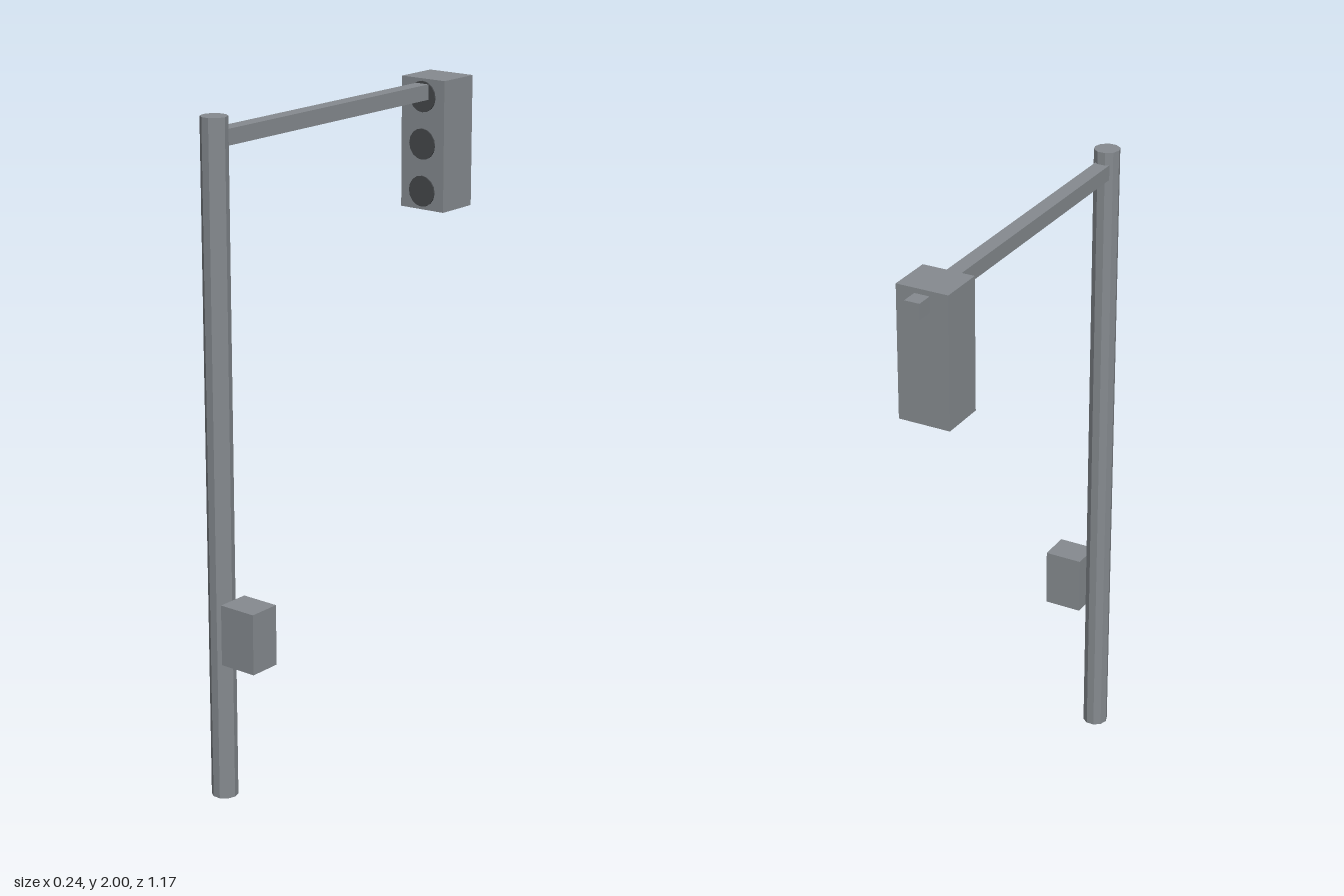
import * as THREE from 'three';

export function createModel() {
  const group = new THREE.Group();
  const grey = new THREE.MeshStandardMaterial({ color: 0x868b90, flatShading: true });
  const dark = new THREE.MeshStandardMaterial({ color: 0x46494c, flatShading: true });
  const axisX = -0.04, poleZ = 0.535;

  function add(name, geometry, material, x, y, z) {
    const mesh = new THREE.Mesh(geometry, material);
    mesh.name = name;
    mesh.position.set(x, y, z);
    group.add(mesh);
  }

  // Ten-sided upright with corners on the x axis
  const pole = new THREE.CylinderGeometry(0.039, 0.039, 2, 10).rotateY(Math.PI / 2);
  add('pole', pole, grey, axisX, 1, poleZ);

  // Square arm reaching back from the pole and through the signal housing
  const armBack = -0.585;
  add('arm', new THREE.BoxGeometry(0.046, 0.046, poleZ - armBack), grey,
    axisX, 1.939, (poleZ + armBack) / 2);

  // Signal housing
  add('signalHousing', new THREE.BoxGeometry(0.158, 0.396, 0.14), grey, axisX, 1.779, -0.463);

  // Three shallow lamps on the front of the housing
  const lamp = new THREE.CylinderGeometry(0.047, 0.047, 0.016, 16).rotateX(Math.PI / 2);
  ['topLamp', 'middleLamp', 'bottomLamp'].forEach((name, i) => {
    add(name, lamp, dark, axisX, 1.923 - i * 0.143, -0.397);
  });

  // Control box on the left side of the pole
  add('controlBox', new THREE.BoxGeometry(0.119, 0.182, 0.1), grey, 0.0605, 0.523, poleZ);

  return group;
}
